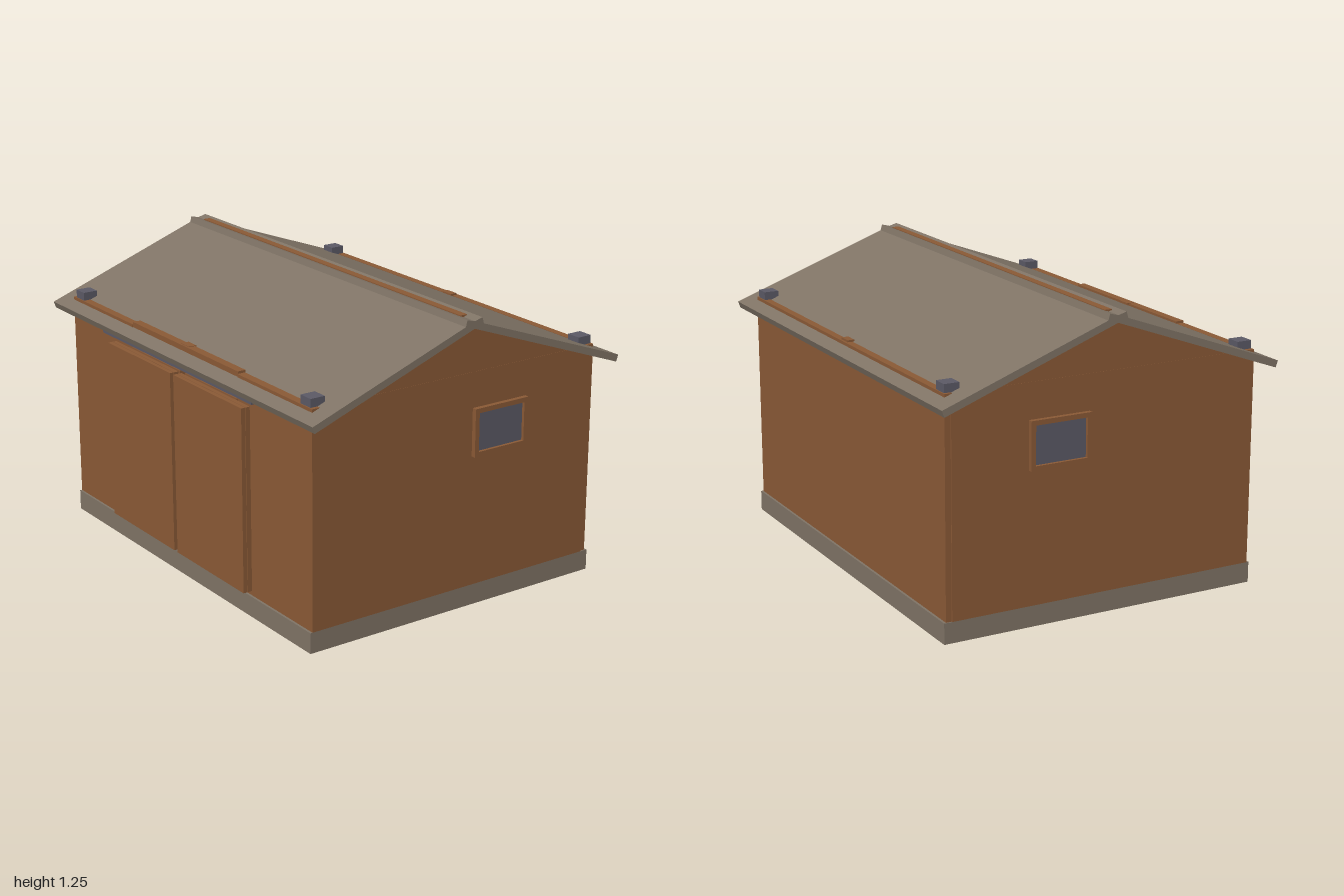
import * as THREE from 'three';

export function createModel() {
  const group = new THREE.Group();
  group.name = 'shed';

  const mat = (name, color) => {
    const m = new THREE.MeshStandardMaterial({ color });
    m.name = name;
    return m;
  };
  const wood = mat('brown wood', 0x8b5a36);
  const stone = mat('taupe roofing', 0x807466);
  const slate = mat('slate grey', 0x5c5a66);

  const add = (name, geometry, material) => {
    const mesh = new THREE.Mesh(geometry, material);
    mesh.name = name;
    group.add(mesh);
    return mesh;
  };
  // box given by its limits on each axis
  const box = (name, material, [x0, x1], [y0, y1], [z0, z1]) => {
    const mesh = add(name, new THREE.BoxGeometry(x1 - x0, y1 - y0, z1 - z0), material);
    mesh.position.set((x0 + x1) / 2, (y0 + y1) / 2, (z0 + z1) / 2);
    return mesh;
  };
  // profile of [z, y] points carried along x from x0 to x1
  const prism = (name, material, points, x0, x1) => {
    const shape = new THREE.Shape(points.map(([z, y]) => new THREE.Vector2(-z, y)));
    const geometry = new THREE.ExtrudeGeometry(shape, { depth: x1 - x0, bevelEnabled: false });
    geometry.rotateY(Math.PI / 2).translate(x0, 0, 0);
    return add(name, geometry, material);
  };

  // foundation
  box('foundation', stone, [-0.915, 0.915], [0, 0.088], [-0.71, 0.71]);

  // front wall around the doorway, its top plate showing through the roof
  for (const s of [-1, 1]) {
    const span = (a, b) => (s > 0 ? [a, b] : [-b, -a]);
    box('frontWall', wood, span(0.405, 0.915), [0.088, 1.0], [0.665, 0.7]);
    box('doorwayPanel', wood, span(0.02, 0.405), [0.092, 0.9], [0.668, 0.705]);
  }
  box('doorHeader', wood, [-0.405, 0.405], [0.9, 1.01], [0.662, 0.698]);
  box('frontPlateJoint', wood, [-0.03, 0.03], [0.95, 1.012], [0.655, 0.69]);

  // back wall
  box('backWall', wood, [-0.91, 0.91], [0.088, 1.0], [-0.7, -0.668]);
  box('backPlateJoint', wood, [-0.03, 0.03], [0.95, 1.008], [-0.69, -0.66]);

  for (const s of [-1, 1]) {
    const span = (a, b) => (s > 0 ? [a, b] : [-b, -a]);

    // side wall and gable
    const wall = [[0.665, 0.088], [0.665, 0.968], [0.578, 1.0], [-0.578, 1.0],
      [-0.675, 0.965], [-0.675, 0.088]];
    prism('sideWall', wood, wall, ...span(0.88, 0.915));
    prism('gable', wood, [[0.578, 1.0], [0, 1.212], [-0.578, 1.0]], ...span(0.88, 0.914));

    // window frame as four rails, with the pane set inside
    const fx = span(0.912, 0.935);
    box('windowFrameTop', wood, fx, [0.83, 0.85], [-0.34, -0.07]);
    box('windowFrameBottom', wood, fx, [0.647, 0.667], [-0.34, -0.07]);
    box('windowFrameFront', wood, fx, [0.667, 0.83], [-0.09, -0.07]);
    box('windowFrameBack', wood, fx, [0.667, 0.83], [-0.34, -0.32]);
    box('windowPane', slate, span(0.914, 0.922), [0.667, 0.83], [-0.32, -0.09]);

    // corner posts rising through the roof
    for (const z of [-0.663, 0.663]) {
      box('cornerPost', slate, span(0.833, 0.898), [0.088, 1.035], [z - 0.0325, z + 0.0325]);
    }

    // roof slope on the front or back
    prism('roofSlope', stone, [[0, 1.21], [s * 0.747, 0.938], [s * 0.757, 0.966], [0, 1.24]]
      .slice(0, 4)[s > 0 ? 'slice' : 'reverse'](), -1, 1);

    // sliding door made of two boards
    const dx = s > 0 ? [0.01, 0.515] : [-0.52, -0.015];
    box('doorBack', wood, dx, [0.12, 0.9], [0.716, 0.736]);
    box('doorFace', wood, dx, [0.12, 0.9], [0.738, 0.756]);
  }

  // door track under the eave
  box('doorTrack', slate, [-0.575, 0.575], [0.93, 0.948], [0.728, 0.748]);

  // ridge cap with a shallow valley holding the ridge beam
  prism('ridgeCap', stone,
    [[0.046, 1.218], [0.037, 1.25], [0, 1.24], [-0.037, 1.25], [-0.046, 1.218]], -1, 1);
  box('ridgeBeam', wood, [-0.93, 0.93], [1.2, 1.248], [-0.018, 0.014]);

  return group;
}
